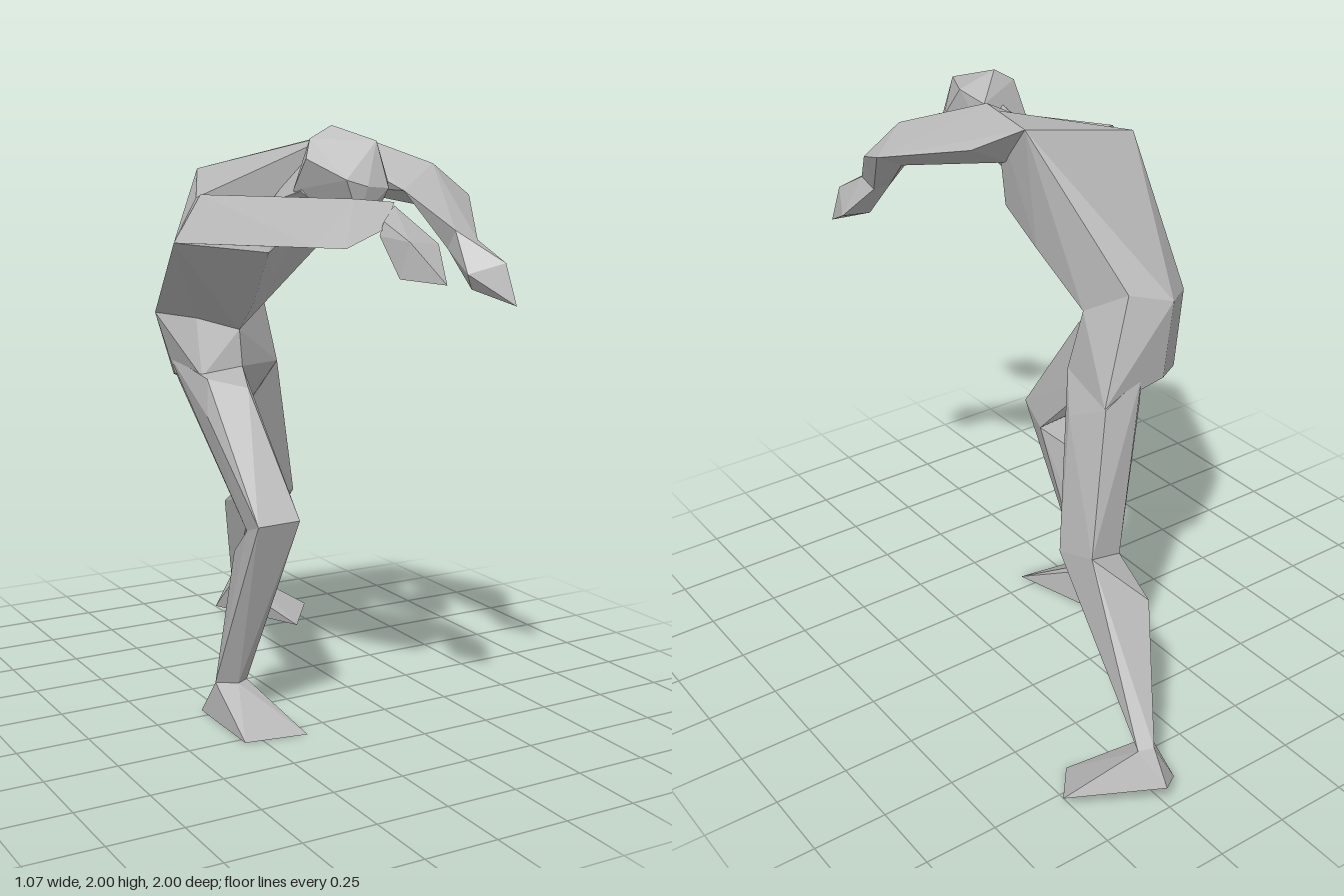
import * as THREE from 'three';
import { ConvexGeometry } from 'three/addons/geometries/ConvexGeometry.js';

const clay = new THREE.MeshStandardMaterial({ color: 0xb4b4b4 });
clay.name = 'clay grey';

// Faceted body part: the hull around one or more rings of corners
function part(name, ...rings) {
  const points = rings.flat().map((p) => new THREE.Vector3(...p));
  const mesh = new THREE.Mesh(new ConvexGeometry(points), clay);
  mesh.name = name;
  return mesh;
}

export function createModel() {
  const model = new THREE.Group();
  model.name = 'leaningFigure';

  // Torso: two lobes that meet in a crease down the chest
  const rightWaist = [[-0.4, 1.38, -0.19], [-0.31, 1.37, -0.06], [-0.3, 1.41, -0.33]];
  const midWaist = [[-0.18, 1.33, 0], [-0.04, 1.47, -0.37], [-0.17, 1.44, -0.435]];
  const leftWaist = [[0.04, 1.39, -0.24]];
  const back = [[0.12, 1.95, -0.04], [-0.315, 1.86, -0.03]];
  const crease = [[-0.04, 1.46, -0.01], [-0.06, 1.68, 0.18], [-0.43, 1.78, 0.2]];
  const rightChest = [[-0.54, 1.65, 0.27], [-0.23, 1.61, 0.3], [-0.18, 1.43, 0.105]];
  const leftChest = [[0.12, 1.97, 0.12], [0.08, 1.64, 0.13], [0.085, 1.55, -0.05]];
  model.add(part('rightTorso', rightWaist, midWaist, back, crease, rightChest),
    part('leftTorso', leftWaist, midWaist, back, crease, leftChest));

  // Pelvis
  const seat = [[-0.32, 1.18, 0], [-0.18, 1.21, 0.02], [-0.1, 1.15, -0.115], [0.07, 1.18, -0.2],
    [0.09, 1.13, -0.425], [-0.15, 1.17, -0.42], [-0.27, 1.14, -0.33], [-0.335, 1.17, -0.18],
    [-0.13, 1.05, -0.11], [-0.06, 1.02, -0.2], [0, 1.03, -0.27]];
  model.add(part('pelvis', rightWaist, midWaist, leftWaist, seat));

  // Neck and head
  model.add(part('neck', [[-0.17, 1.76, 0.2], [-0.02, 1.87, 0.11], [0.03, 1.8, 0.2], [-0.05, 1.66, 0.24],
    [-0.15, 1.8, 0.36], [-0.05, 1.9, 0.33], [0.04, 1.82, 0.34], [-0.05, 1.7, 0.42]]));
  model.add(part('head', [[-0.065, 2, 0.4], [-0.13, 1.96, 0.38], [0.01, 1.955, 0.54], [0.06, 1.95, 0.42],
    [0.03, 1.92, 0.32], [-0.16, 1.9, 0.41], [-0.155, 1.8, 0.32], [-0.1, 1.84, 0.55], [0.03, 1.815, 0.58],
    [-0.04, 1.82, 0.575], [0.075, 1.84, 0.5], [0.04, 1.83, 0.32], [-0.05, 1.72, 0.54], [0.01, 1.72, 0.53],
    [-0.08, 1.72, 0.38]]));

  // Right arm: thick upper arm, then hand reaching forward
  const rightShoulder = [[-0.54, 1.65, 0.27], [-0.42, 1.79, 0.21], [-0.25, 1.76, 0.22], [-0.26, 1.63, 0.28]];
  const rightElbow = [[-0.31, 1.66, 0.725], [-0.245, 1.66, 0.795], [-0.1, 1.71, 0.77],
    [-0.02, 1.78, 0.69], [-0.13, 1.79, 0.64], [-0.12, 1.66, 0.62]];
  const rightWrist = [[-0.12, 1.69, 0.77], [-0.1, 1.73, 0.76], [-0.02, 1.77, 0.69], [-0.02, 1.66, 0.74]];
  const rightFingers = [[0.01, 1.67, 0.88], [-0.1, 1.68, 0.9], [-0.12, 1.575, 0.88], [-0.03, 1.575, 0.85],
    [-0.04, 1.565, 1]];
  model.add(part('rightUpperArm', rightShoulder, rightElbow), part('rightHand', rightWrist, rightFingers));

  // Left arm
  const leftShoulder = [[0.12, 1.98, 0.17], [0.04, 1.94, 0.15], [0.12, 1.95, -0.04], [0.235, 1.87, 0.09],
    [0.09, 1.8, 0.09]];
  const leftElbow = [[0.29, 1.88, 0.43], [0.41, 1.8, 0.375], [0.41, 1.78, 0.46], [0.155, 1.8, 0.47],
    [0.3, 1.74, 0.41]];
  const leftWrist = [[0.27, 1.62, 0.55], [0.33, 1.62, 0.55], [0.27, 1.68, 0.59], [0.34, 1.65, 0.61]];
  const leftFingers = [[0.27, 1.55, 0.66], [0.37, 1.585, 0.72], [0.41, 1.515, 0.635], [0.385, 1.455, 0.76],
    [0.3, 1.5, 0.64]];
  model.add(part('leftUpperArm', leftShoulder, leftElbow), part('leftForearm', leftElbow, leftWrist),
    part('leftHand', leftWrist, leftFingers));

  // Right leg: bent, in front
  const rightHip = [[-0.32, 1.18, 0.04], [-0.335, 1.06, 0.07], [-0.18, 1.21, 0.02], [-0.2, 1.15, 0.1],
    [-0.13, 1.04, -0.11], [-0.26, 1.12, -0.31], [-0.35, 1.23, -0.19]];
  const rightKnee = [[-0.275, 0.705, 0.23], [-0.285, 0.74, 0.33], [-0.145, 0.75, 0.35], [-0.12, 0.7, 0.22]];
  const rightCalf = [[-0.235, 0.59, 0.06]];
  const rightAnkle = [[-0.3, 0.13, 0.04], [-0.235, 0.13, 0.085], [-0.19, 0.13, 0.06], [-0.22, 0.135, 0]];
  const rightSole = [[-0.31, 0, -0.05], [-0.2, 0, -0.05], [-0.31, 0, 0.28], [-0.095, 0, 0.315]];
  model.add(part('rightThigh', rightHip, rightKnee), part('rightShin', rightKnee, rightCalf, rightAnkle),
    part('rightFoot', rightAnkle, rightSole));

  // Left leg: stretched out behind
  const leftHip = [[0.07, 1.18, -0.2], [0.09, 1.13, -0.43], [0.13, 1.06, -0.29], [0, 1.03, -0.27],
    [-0.08, 1.09, -0.39], [-0.06, 1.2, -0.42]];
  const leftKnee = [[0.25, 0.65, -0.405], [0.24, 0.7, -0.565], [0.11, 0.66, -0.54], [0.11, 0.62, -0.46]];
  const leftCalf = [[0.105, 0.56, -0.69]];
  const leftAnkle = [[0.305, 0.185, -0.9], [0.215, 0.17, -0.85], [0.26, 0.195, -0.925]];
  const leftSole = [[0.26, 0.08, -0.995], [0.185, 0.05, -0.94], [0.53, 0.045, -0.81], [0.415, 0.01, -0.67]];
  model.add(part('leftThigh', leftHip, leftKnee), part('leftShin', leftKnee, leftCalf, leftAnkle),
    part('leftFoot', leftAnkle, leftSole));

  return model;
}
